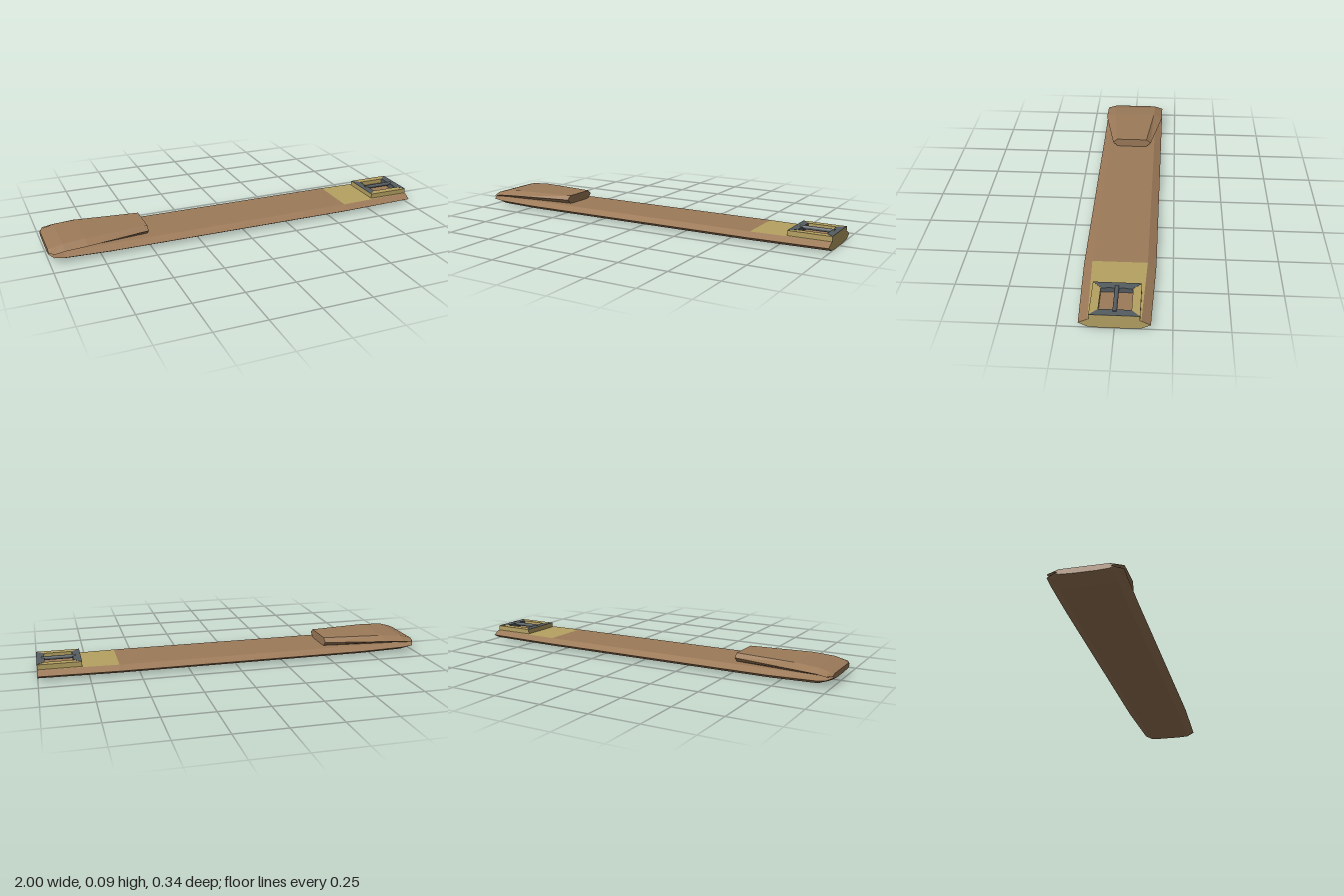
import * as THREE from 'three';

const material = (name, color) => {
  const m = new THREE.MeshStandardMaterial({ color });
  m.name = name;
  return m;
};

// Eight-sided cross-section: w = half width, f = half width of the flats,
// yb / ym / yt = heights of the bottom, the side ridge and the top.
function ring([x, w, f, yb, ym, yt]) {
  return [[f, yt], [-f, yt], [-w, ym], [-f, yb + 0.003], [-f * 0.5, yb],
    [f * 0.5, yb], [f, yb + 0.003], [w, ym]].map(([z, y]) => [x, y, z]);
}

// Faceted, capped loft through cross-sections along x; pick() chooses the material slot of each face.
function loft(name, sections, materials, pick = () => 0) {
  const rings = sections.map(ring);
  const n = rings[0].length;
  const faces = materials.map(() => []);
  const tri = (slot, ...corners) => corners.forEach((p) => faces[slot].push(...p));
  for (let i = 0; i < rings.length - 1; i++) {
    for (let j = 0; j < n; j++) {
      const k = (j + 1) % n;
      const [a, b, c, d] = [rings[i][j], rings[i + 1][j], rings[i + 1][k], rings[i][k]];
      const slot = pick(i, j);
      tri(slot, a, b, c);
      tri(slot, a, c, d);
    }
  }
  const first = rings[0];
  const last = rings[rings.length - 1];
  for (let j = 1; j < n - 1; j++) {
    tri(pick('start'), first[0], first[j], first[j + 1]);
    tri(pick('end'), last[0], last[j + 1], last[j]);
  }
  const geometry = new THREE.BufferGeometry();
  geometry.setAttribute('position', new THREE.Float32BufferAttribute(faces.flat(), 3));
  let start = 0;
  faces.forEach((f, slot) => {
    geometry.addGroup(start, f.length / 3, slot);
    start += f.length / 3;
  });
  geometry.computeVertexNormals();
  const mesh = new THREE.Mesh(geometry, materials);
  mesh.name = name;
  return mesh;
}

// Horizontal plate from an outline in x and z, standing on y
function plate(name, points, y, height, mat, hole) {
  const toVec = ([x, z]) => new THREE.Vector2(x, -z);
  const shape = new THREE.Shape(points.map(toVec));
  if (hole) shape.holes.push(new THREE.Path(hole.map(toVec)));
  const geometry = new THREE.ExtrudeGeometry(shape, { depth: height, bevelEnabled: false });
  geometry.rotateX(-Math.PI / 2);
  const mesh = new THREE.Mesh(geometry, mat);
  mesh.name = name;
  mesh.position.y = y;
  return mesh;
}

const rect = (x0, x1, z) => [[x0, z], [x1, z], [x1, -z], [x0, -z]];

export function createModel() {
  const brown = material('brown', 0x9c7a59);
  const tan = material('tan', 0xb5a162);
  const grey = material('grey', 0x565d61);
  const model = new THREE.Group();
  model.name = 'strap';

  // Long band, tan on the top of its last stretch and on the cut end
  model.add(loft('band', [
    [-1, 0.13, 0.11, 0.032, 0.042, 0.046],
    [-0.98, 0.17, 0.13, 0.024, 0.037, 0.045],
    [-0.93, 0.17, 0.13, 0.006, 0.03, 0.045],
    [-0.7, 0.17, 0.13, 0, 0.024, 0.045],
    [0.6, 0.17, 0.13, 0, 0.024, 0.045],
    [1, 0.156, 0.115, 0, 0.024, 0.045],
  ], [brown, tan], (i, j) => (i === 'end' || (i === 4 && j === 0) ? 1 : 0)));

  // Folded-over end pad
  model.add(loft('endPad', [
    [-1, 0.13, 0.11, 0.04, 0.05, 0.06],
    [-0.98, 0.17, 0.125, 0.04, 0.054, 0.068],
    [-0.93, 0.17, 0.125, 0.043, 0.062, 0.082],
    [-0.82, 0.17, 0.12, 0.044, 0.069, 0.09],
    [-0.5, 0.11, 0.085, 0.044, 0.07, 0.09],
  ], [brown]));

  // Open frame with mitred grey end faces, a brown floor and a centre bar
  const buckle = new THREE.Group();
  buckle.name = 'buckle';
  const [x0, x1, z, i0, i1, iz] = [0.782, 1, 0.11, 0.82, 0.962, 0.072];
  buckle.add(plate('frame', rect(x0, x1, z), 0.043, 0.027, tan, rect(i0, i1, iz)));
  buckle.add(plate('floor', rect(i0, i1, iz), 0.044, 0.003, brown));
  for (const [name, outer, inner] of [['innerEndFace', x0, i0], ['outerEndFace', x1, i1]]) {
    const points = [[outer, z], [inner, iz], [inner, -iz], [outer, -z]];
    buckle.add(plate(name, points, 0.0695, 0.0015, grey));
  }
  // Grey lining on the inside of the two ends
  for (const x of [i0, i1]) {
    const lining = new THREE.Mesh(new THREE.BoxGeometry(0.003, 0.024, iz * 2), grey);
    lining.name = 'endLining';
    lining.position.set(x, 0.058, 0);
    buckle.add(lining);
  }
  const bar = new THREE.Mesh(new THREE.CylinderGeometry(0.01, 0.01, 0.17, 12), grey);
  bar.name = 'centreBar';
  bar.rotation.z = Math.PI / 2;
  bar.position.set((i0 + i1) / 2, 0.067, 0);
  buckle.add(bar);
  model.add(buckle);

  return model;
}
